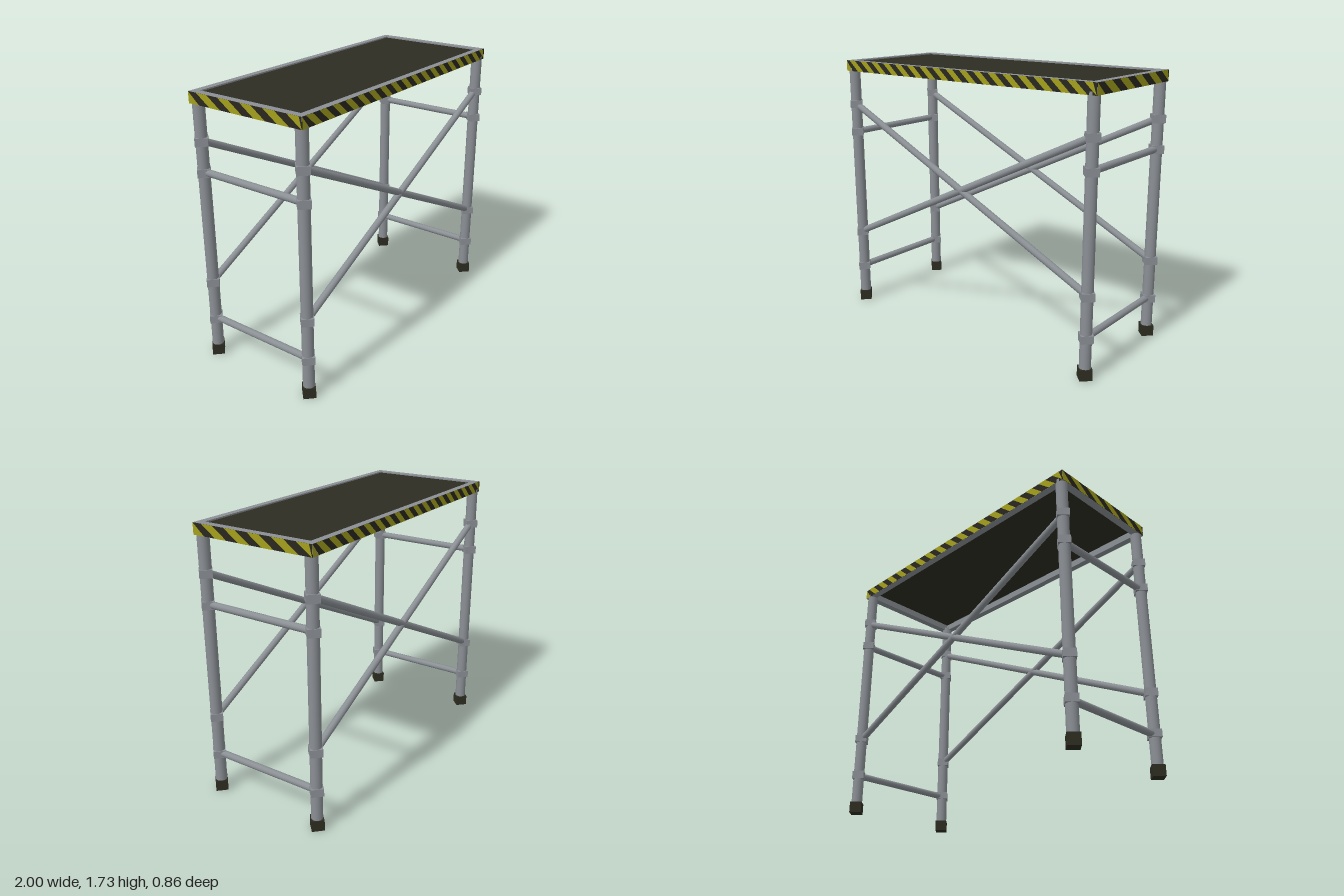
import * as THREE from 'three';

const steel = new THREE.MeshStandardMaterial({ color: 0x8b9095 });
const rubber = new THREE.MeshStandardMaterial({ color: 0x2e2d22 });
const black = new THREE.MeshStandardMaterial({ color: 0x29271f });
const yellow = new THREE.MeshStandardMaterial({ color: 0xa3a01c });
steel.name = 'steel';
rubber.name = 'dark rubber';
black.name = 'stripe black';
yellow.name = 'stripe yellow';

const LEG_X = 0.946, LEG_Z = 0.376;
const HALF_X = 0.983, HALF_Z = 0.409;
const TOP = 1.73, BOTTOM = 1.66;

function add(parent, name, geometry, material) {
  const mesh = new THREE.Mesh(geometry, material);
  mesh.name = name;
  parent.add(mesh);
  return mesh;
}

// Round pipe between two points
function pipe(parent, name, a, b, radius, sides = 12) {
  const dir = b.clone().sub(a);
  const mesh = add(parent, name, new THREE.CylinderGeometry(radius, radius, dir.length(), sides), steel);
  mesh.position.copy(a).add(b).multiplyScalar(0.5);
  mesh.quaternion.setFromUnitVectors(new THREE.Vector3(0, 1, 0), dir.normalize());
}

// Four-sided sleeve with its corners on the x and z axes
function sleeve(parent, name, height, y, material) {
  const side = 0.054 * Math.SQRT2;
  const mesh = add(parent, name, new THREE.BoxGeometry(side, height, side), material);
  mesh.rotation.y = Math.PI / 4;
  mesh.position.y = y;
}

// Hazard band for one outer side of the frame, facing +z
function hazardBand(halfLength, count, slant) {
  const band = new THREE.Group();
  band.name = 'hazardBand';
  const h = (TOP - BOTTOM) / 2, step = 2 * halfLength / count;
  add(band, 'bandBase', new THREE.PlaneGeometry(2 * halfLength, 2 * h), black);
  const clamp = x => THREE.MathUtils.clamp(x, -halfLength, halfLength);
  for (let i = 0; i <= count; i++) {
    const x = -halfLength + i * step;
    const stripe = new THREE.Shape([
      new THREE.Vector2(clamp(x), -h),
      new THREE.Vector2(clamp(x + step / 2), -h),
      new THREE.Vector2(clamp(x + step / 2 - slant), h),
      new THREE.Vector2(clamp(x - slant), h),
    ]);
    add(band, 'stripe', new THREE.ShapeGeometry(stripe), yellow).position.z = 0.0015;
  }
  return band;
}

function rectangle(Type, x, z) {
  return new Type([[-x, -z], [x, -z], [x, z], [-x, z]].map(p => new THREE.Vector2(...p)));
}

export function createModel() {
  const model = new THREE.Group();
  model.name = 'scaffoldPlatform';

  // Legs with feet and clamp collars
  for (const sx of [-1, 1]) for (const sz of [-1, 1]) {
    const leg = new THREE.Group();
    leg.name = 'leg';
    leg.position.set(sx * LEG_X, 0, sz * LEG_Z);
    pipe(leg, 'post', new THREE.Vector3(0, 0.03, 0), new THREE.Vector3(0, BOTTOM + 0.02, 0), 0.036, 16);
    sleeve(leg, 'foot', 0.07, 0.035, rubber);
    for (const y of [0.26, 0.52, 1.245, 1.435]) sleeve(leg, 'collar', 0.05, y, steel);
    model.add(leg);
  }

  // Horizontal rungs on both ends
  for (const sx of [-1, 1]) for (const y of [0.26, 1.245]) {
    pipe(model, 'endRung', new THREE.Vector3(sx * LEG_X, y, -LEG_Z),
      new THREE.Vector3(sx * LEG_X, y, LEG_Z), 0.022);
  }

  // Crossed braces on front and back
  for (const sz of [-1, 1]) for (const s of [-1, 1]) {
    pipe(model, 'crossBrace', new THREE.Vector3(-s * LEG_X, 1.435, sz * LEG_Z),
      new THREE.Vector3(s * LEG_X, 0.52, sz * LEG_Z), 0.022);
  }

  // Platform frame and deck
  const outline = rectangle(THREE.Shape, HALF_X, HALF_Z);
  outline.holes.push(rectangle(THREE.Path, 0.935, 0.365));
  const frame = add(model, 'platformFrame',
    new THREE.ExtrudeGeometry(outline, { depth: TOP - BOTTOM, bevelEnabled: false }), steel);
  frame.rotation.x = -Math.PI / 2;
  frame.position.y = BOTTOM;
  add(model, 'deck', new THREE.BoxGeometry(1.88, 0.015, 0.74), rubber).position.y = TOP - 0.016;

  // Hazard bands around the frame
  for (let i = 0; i < 4; i++) {
    const long = i % 2 === 0;
    const band = long ? hazardBand(HALF_X, 18, 0.08) : hazardBand(HALF_Z, 5, 0.1);
    const angle = i * Math.PI / 2, offset = (long ? HALF_Z : HALF_X) + 0.001;
    band.rotation.y = angle;
    band.position.set(Math.sin(angle) * offset, (TOP + BOTTOM) / 2, Math.cos(angle) * offset);
    model.add(band);
  }
  return model;
}
